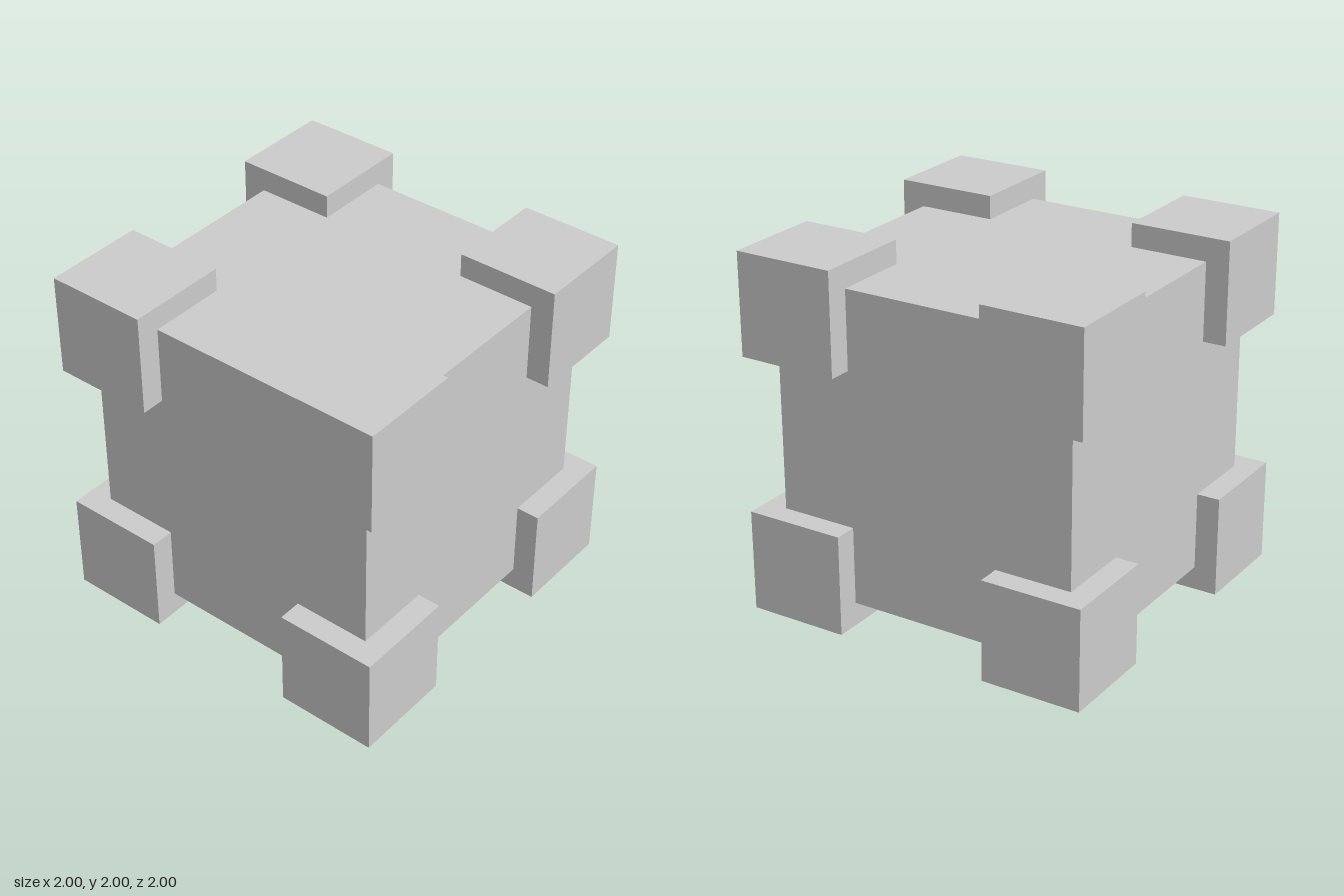
import * as THREE from 'three';

const BODY = 1.74;
const CORNER = 0.565;

export function createModel() {
  const model = new THREE.Group();
  model.name = 'corneredCube';
  const material = new THREE.MeshStandardMaterial({ color: 0xcccccc, flatShading: true });

  // Main cube
  const body = new THREE.Mesh(new THREE.BoxGeometry(BODY, BODY, BODY), material);
  body.name = 'body';
  body.position.y = 1;
  model.add(body);

  // Eight corner blocks, flush with the outer 2-unit bounds
  const cornerGeometry = new THREE.BoxGeometry(CORNER, CORNER, CORNER);
  const offset = 1 - CORNER / 2;
  for (const x of [-1, 1]) {
    for (const y of [-1, 1]) {
      for (const z of [-1, 1]) {
        const corner = new THREE.Mesh(cornerGeometry, material);
        corner.name = `${y > 0 ? 'top' : 'bottom'}${z > 0 ? 'Front' : 'Back'}${x > 0 ? 'Left' : 'Right'}Corner`;
        corner.position.set(x * offset, 1 + y * offset, z * offset);
        model.add(corner);
      }
    }
  }

  return model;
}
